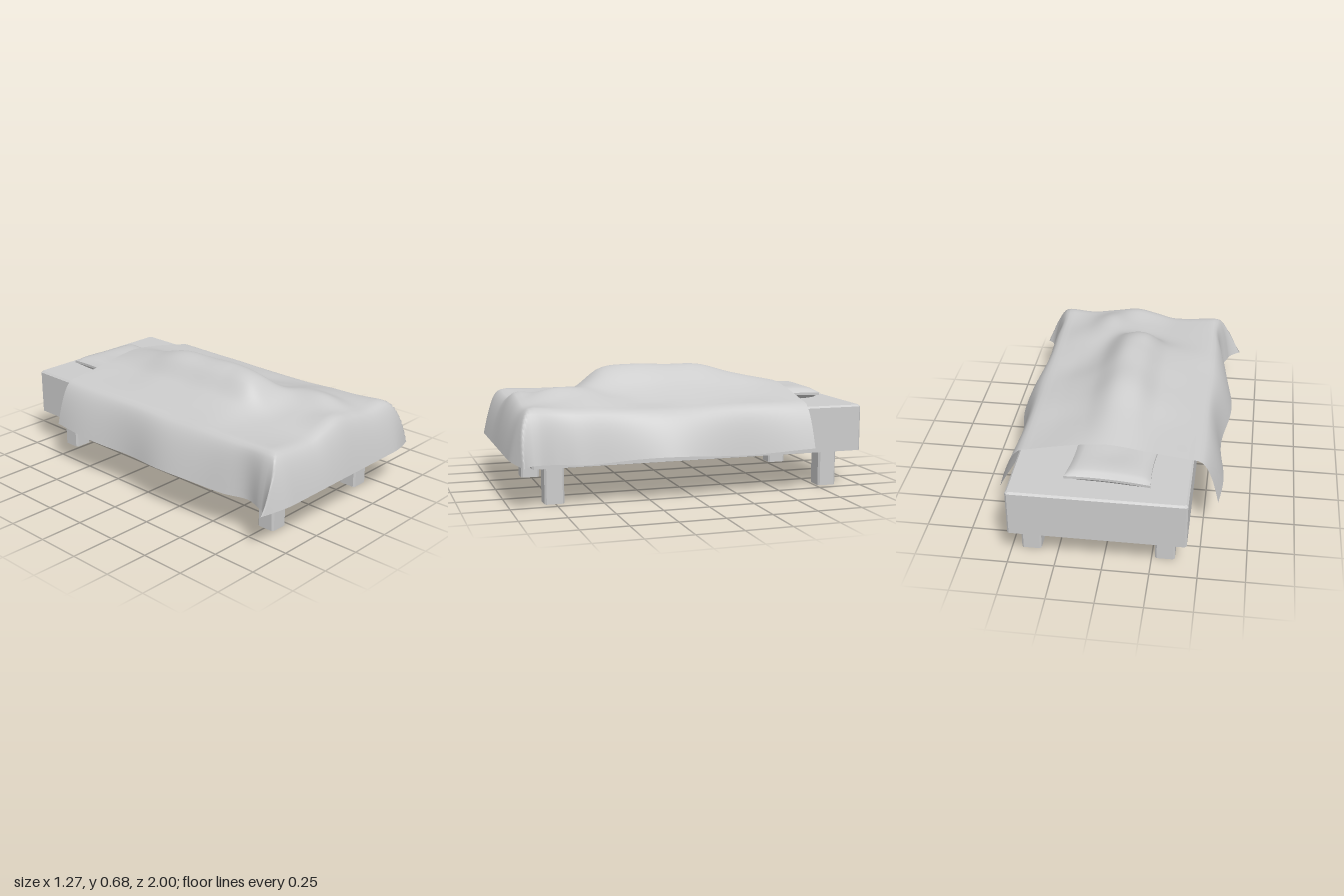
import * as THREE from 'three';

const cloth = new THREE.MeshStandardMaterial({ color: 0xcccccc, side: THREE.DoubleSide });
const wood = new THREE.MeshStandardMaterial({ color: 0xcccccc, side: THREE.DoubleSide, flatShading: true });

const clamp01 = (t) => Math.min(1, Math.max(0, t));
const bump = (x, c, w) => Math.exp(-(((x - c) / w) ** 2));

// Thin shell with chamfered upright corners, open below; rings are [width, depth, y]
function shell(name, rings, chamfer) {
  const position = [], index = [];
  for (const [w, d, y] of rings) {
    const a = w / 2, b = d / 2, c = Math.min(chamfer, a, b);
    for (const [x, z] of [[a, b - c], [a - c, b], [c - a, b], [-a, b - c],
      [-a, c - b], [c - a, -b], [a - c, -b], [a, c - b]]) position.push(x, y, z);
  }
  for (let r = 0; r < rings.length - 1; r++) {
    for (let i = 0; i < 8; i++) {
      const a = r * 8 + i, b = r * 8 + (i + 1) % 8;
      index.push(a, a + 8, b, b, a + 8, b + 8);
    }
  }
  const g = new THREE.BufferGeometry();
  g.setAttribute('position', new THREE.Float32BufferAttribute(position, 3));
  g.setIndex(index);
  g.computeVertexNormals();
  const mesh = new THREE.Mesh(g, wood);
  mesh.name = name;
  return mesh;
}

// Height of the blanket over the sleeper's shape, sampled across x for stations along z
const XS = [-0.45, -0.21, -0.09, 0.03, 0.17, 0.31, 0.45];
const ZS = [-0.66, -0.4, -0.2, 0, 0.2, 0.38, 0.54, 0.7, 0.86];
const HEIGHTS = [
  [0.50, 0.53, 0.55, 0.56, 0.545, 0.52, 0.49],
  [0.50, 0.54, 0.60, 0.61, 0.55, 0.51, 0.49],
  [0.50, 0.56, 0.65, 0.66, 0.57, 0.52, 0.49],
  [0.50, 0.565, 0.655, 0.665, 0.575, 0.52, 0.485],
  [0.50, 0.57, 0.66, 0.672, 0.56, 0.505, 0.485],
  [0.505, 0.56, 0.65, 0.645, 0.555, 0.52, 0.49],
  [0.505, 0.52, 0.54, 0.56, 0.575, 0.54, 0.50],
  [0.505, 0.505, 0.52, 0.54, 0.58, 0.53, 0.505],
  [0.51, 0.495, 0.525, 0.55, 0.53, 0.51, 0.52],
];

// Smooth interpolation through values at uneven stations
function spline(stations, values, p) {
  const n = stations.length;
  let i = 0;
  while (i < n - 2 && p > stations[i + 1]) i++;
  const slope = (k) => {
    const a = Math.max(0, k - 1), b = Math.min(n - 1, k + 1);
    return (values[b] - values[a]) / (stations[b] - stations[a]);
  };
  const h = stations[i + 1] - stations[i], t = clamp01((p - stations[i]) / h);
  const t2 = t * t, t3 = t2 * t;
  return (2 * t3 - 3 * t2 + 1) * values[i] + (t3 - 2 * t2 + t) * h * slope(i)
    + (3 * t2 - 2 * t3) * values[i + 1] + (t3 - t2) * h * slope(i + 1);
}
const blanketHeight = (x, z) => spline(ZS, HEIGHTS.map((row) => spline(XS, row, x)), z);

// Blanket: a sheet laid over the bed, hanging at both sides and the foot
function makeBlanket() {
  const g = new THREE.PlaneGeometry(2, 1, 64, 72);
  const p = g.attributes.position;
  for (let i = 0; i < p.count; i++) {
    const s = p.getX(i), v = 0.5 - p.getY(i);
    const side = Math.sign(s);
    const tx = clamp01((Math.abs(s) - 0.68) / 0.32);
    const tz = clamp01((v - 0.82) / 0.18);
    const topX = side * 0.45 * clamp01(Math.abs(s) / 0.68);
    const topZ = -0.66 + 1.52 * clamp01(v / 0.82);
    const t = Math.max(tx, tz);
    const top = blanketHeight(topX, topZ);

    // Ripples along the side hems and a flare at the foot corners
    const ripple = 0.018 * Math.sin(topZ * 8 + side) * (1 - tz)
      + 0.02 * bump(topZ, 0.15, 0.2) - 0.045 * bump(topZ, 0.76, 0.1) * (1 - tz);
    const hem = 0.235 + 0.012 * Math.sin(topZ * 7 + side * 0.5) * (1 - tz) * tx
      + 0.012 * tz * (1 - tx);
    const x = topX + side * (0.13 * tx ** 0.6 + ripple * tx + 0.055 * tx * tz);
    const z = topZ + 0.135 * tz ** 0.6 - 0.05 * tx * tz - 0.012 * tx * (1 - clamp01(v * 8));
    p.setXYZ(i, x, top - (top - hem) * t ** 1.5, z);
  }
  g.computeVertexNormals();
  const mesh = new THREE.Mesh(g, cloth);
  mesh.name = 'blanket';
  return mesh;
}

// Pillow: a flat cushion with pinched edges and pointed corners
function makePillow() {
  const g = new THREE.BoxGeometry(2, 2, 2, 18, 1, 18);
  const p = g.attributes.position;
  for (let i = 0; i < p.count; i++) {
    const s = p.getX(i), up = p.getY(i), t = p.getZ(i);
    const puff = Math.max(0, (1 - s ** 4) * (1 - t ** 4)) ** 0.45;
    const dent = 0.008 * bump(Math.hypot(s, t), 0, 0.5);
    p.setXYZ(i,
      s * 0.225 * (1 - 0.07 * (1 - t * t)),
      up * (0.007 + 0.033 * puff - dent),
      t * 0.2 * (1 - 0.07 * (1 - s * s)));
  }
  g.computeVertexNormals();
  const mesh = new THREE.Mesh(g, cloth);
  mesh.name = 'pillow';
  mesh.position.set(-0.03, 0.492, -0.69);
  mesh.rotation.y = -0.06;
  return mesh;
}

export function createModel() {
  const bed = new THREE.Group();
  bed.name = 'bed';

  // Hollow mattress base, closed on top only
  const base = shell('mattressBase', [
    [0.93, 1.88, 0.2], [0.93, 1.88, 0.45], [0.91, 1.86, 0.46], [0, 0, 0.46],
  ], 0.01);
  base.position.set(0.025, 0, -0.06);
  bed.add(base);

  // Four square legs
  for (const x of [-0.32, 0.395]) {
    for (const z of [-0.818, 0.755]) {
      const leg = shell('leg', [[0.106, 0.106, 0], [0.106, 0.106, 0.21]], 0.01);
      leg.position.set(x, 0, z);
      bed.add(leg);
    }
  }

  bed.add(makePillow(), makeBlanket());
  return bed;
}
